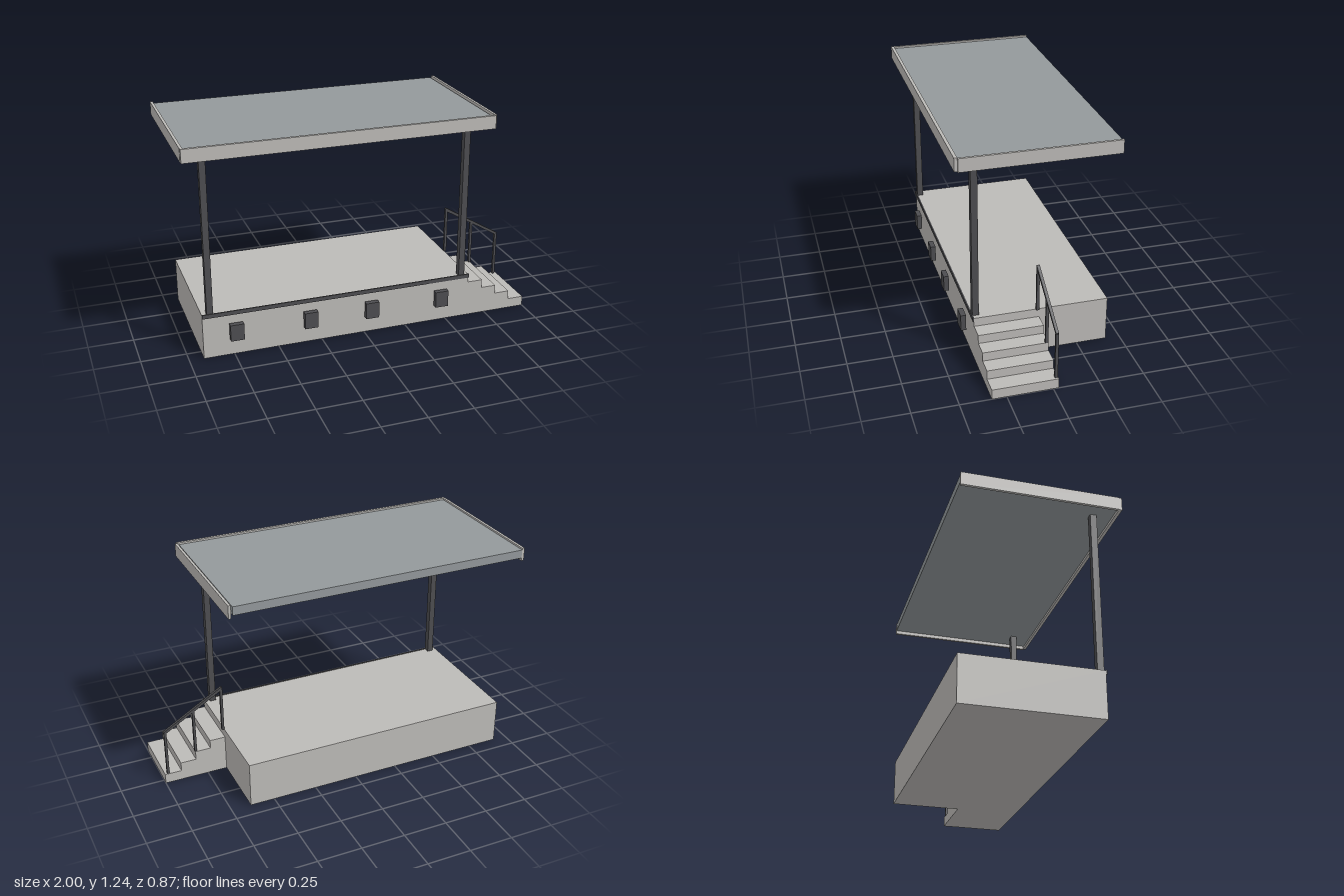
import * as THREE from 'three';

export function createModel() {
  const model = new THREE.Group();
  const material = (name, color) => {
    const m = new THREE.MeshStandardMaterial({ color });
    m.name = name;
    return m;
  };
  const concrete = material('paleConcrete', 0xbcbab7);
  const steel = material('darkSteel', 0x4d4d50);
  const roofing = material('roofGrey', 0x93989b);

  const add = (name, geometry, mat, parent = model) => {
    const mesh = new THREE.Mesh(geometry, mat);
    mesh.name = name;
    parent.add(mesh);
    return mesh;
  };
  // Box given by its limits on each axis
  const box = (name, mat, [x0, x1], [y0, y1], [z0, z1], parent) => {
    const g = new THREE.BoxGeometry(x1 - x0, y1 - y0, z1 - z0);
    g.translate((x0 + x1) / 2, (y0 + y1) / 2, (z0 + z1) / 2);
    return add(name, g, mat, parent);
  };
  // Side profile in x and y, extruded along z
  const profile = (name, mat, points, [z0, z1], parent) => {
    const shape = new THREE.Shape(points.map(([x, y]) => new THREE.Vector2(x, y)));
    const g = new THREE.ExtrudeGeometry(shape, { depth: z1 - z0, bevelEnabled: false });
    g.translate(0, 0, z0);
    return add(name, g, mat, parent);
  };

  // Platform and its front edge trim
  box('platform', concrete, [-0.92, 0.638], [0, 0.26], [-0.42, 0.33]);
  box('edgeTrim', steel, [-0.92, 0.64], [0.241, 0.264], [0.329, 0.337]);

  // Stairs: one stepped profile going down towards +x
  const edges = [0.638, 0.727, 0.816, 0.905, 1];
  const heights = [0.21, 0.16, 0.109, 0.057];
  const steps = [[edges[0], 0], [1, 0]];
  for (let i = 3; i >= 0; i--) {
    steps.push([edges[i + 1], heights[i]], [edges[i], heights[i]]);
  }
  profile('stairs', concrete, steps, [-0.03, 0.33]);

  // Handrail: three uprights and a sloping bar
  const railing = new THREE.Group();
  railing.name = 'handrail';
  model.add(railing);
  const railZ = [-0.027, -0.011];
  for (const [x, y0, y1] of [[0.645, 0.26, 0.525], [0.812, 0.16, 0.425], [0.98, 0.057, 0.325]]) {
    box('railUpright', steel, [x - 0.007, x + 0.007], [y0, y1], railZ, railing);
  }
  profile('railBar', steel,
    [[0.638, 0.521], [0.98, 0.319], [0.987, 0.332], [0.645, 0.537], [0.638, 0.534]], railZ, railing);

  // Wall boxes along the front
  for (const x of [-0.738, -0.32, 0.038, 0.46]) {
    box('wallBox', steel, [x - 0.038, x + 0.038], [0.099, 0.194], [0.34, 0.37]);
  }

  // Roof posts
  for (const x of [-0.876, 0.593]) {
    box('roofPost', steel, [x - 0.0175, x + 0.0175], [0.26, 1.18], [0.296, 0.332]);
  }

  // Roof panel with fascia boards on three sides
  const roof = new THREE.Group();
  roof.name = 'roof';
  model.add(roof);
  const fasciaY = [1.162, 1.236];
  box('roofPanel', roofing, [-0.985, 0.697], [1.178, 1.226], [-0.435, 0.418], roof);
  box('frontFascia', concrete, [-0.998, 0.708], fasciaY, [0.418, 0.435], roof);
  box('rightFascia', concrete, [-1, -0.985], fasciaY, [-0.435, 0.418], roof);
  box('leftFascia', concrete, [0.706, 0.72], fasciaY, [-0.435, 0.418], roof);

  return model;
}
